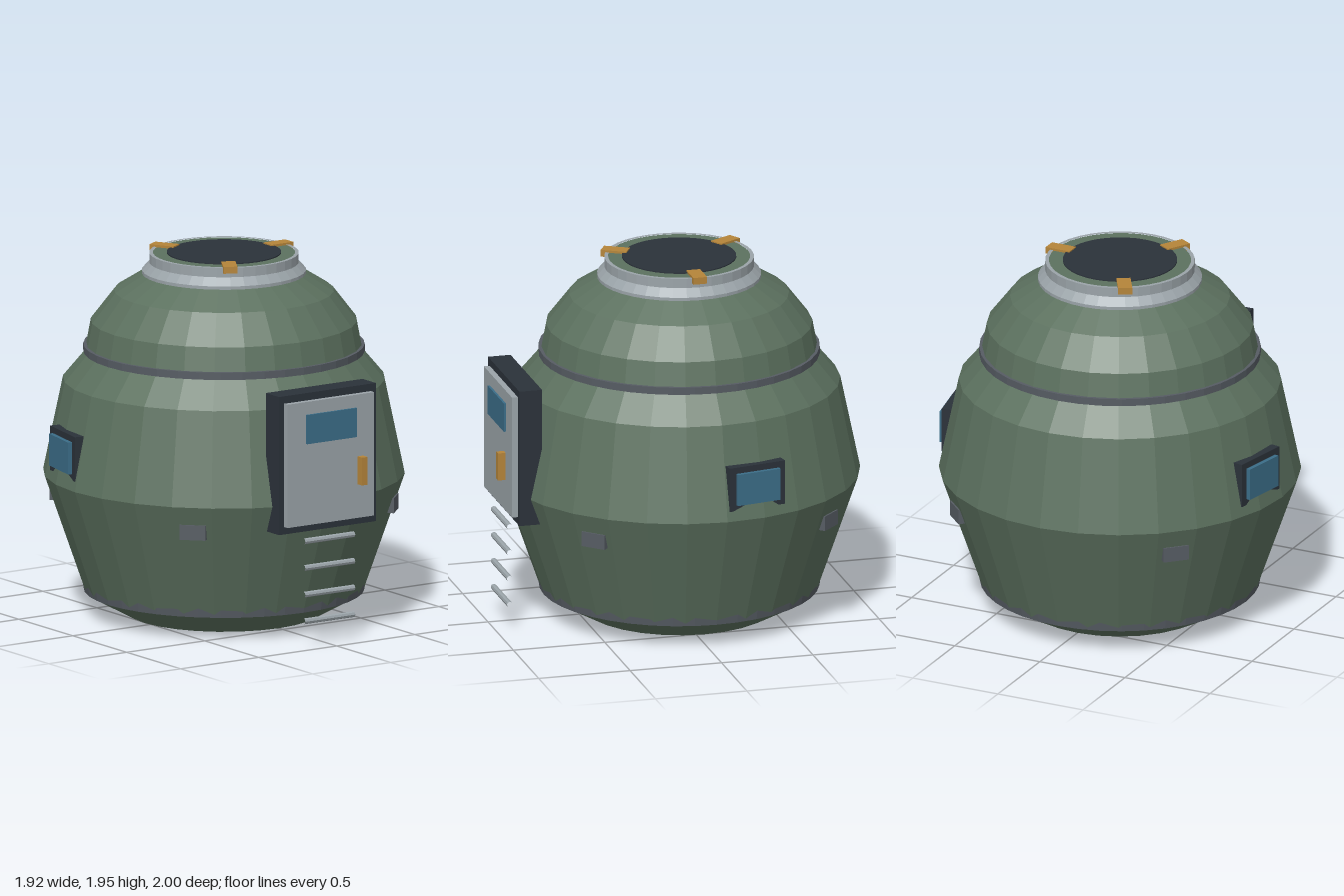
import * as THREE from 'three';

const SEG = 28;      // sides of the hull
const CZ = -0.045;   // hull axis in z

const mat = (name, color) => {
  const m = new THREE.MeshStandardMaterial({ color, flatShading: true });
  m.name = name;
  return m;
};

export function createModel() {
  const green = mat('hullGreen', 0x5c715f);
  const light = mat('lightGrey', 0x9ba4a9);
  const steel = mat('steelGrey', 0x565c63);
  const dark = mat('darkSlate', 0x2b323a);
  const glass = mat('blueGlass', 0x3b6d88);
  const amber = mat('amber', 0xb5853a);

  const model = new THREE.Group();
  model.name = 'capsule';
  const hull = new THREE.Group();
  hull.name = 'hull';
  hull.position.z = CZ;
  model.add(hull);

  const add = (parent, name, geo, material, x = 0, y = 0, z = 0) => {
    const mesh = new THREE.Mesh(geo, material);
    mesh.name = name;
    mesh.position.set(x, y, z);
    parent.add(mesh);
    return mesh;
  };
  const lathe = (name, pts, material, seg = SEG) =>
    add(hull, name, new THREE.LatheGeometry(pts.map(p => new THREE.Vector2(...p)), seg), material);
  const box = (parent, name, size, material, x, y, z) =>
    add(parent, name, new THREE.BoxGeometry(...size), material, x, y, z);
  // empty group turned about the hull axis; its +z points outwards
  const radial = (name, angle) => {
    const g = new THREE.Group();
    g.name = name;
    g.rotation.y = angle;
    hull.add(g);
    return g;
  };

  // Main shell and dome
  lathe('lowerHull', [[0, 0], [0.508, 0], [0.735, 0.125], [0.955, 0.76], [0.85, 1.263], [0.727, 1.41]], green);
  lathe('dome', [[0.73, 1.43], [0.703, 1.575], [0.58, 1.735], [0.42, 1.835]], green);

  // Seam bands
  lathe('baseBand', [[0.7, 0.125], [0.74, 0.125], [0.75, 0.19], [0.71, 0.19]], steel, 40);
  lathe('upperBand', [[0.7, 1.408], [0.742, 1.408], [0.742, 1.447], [0.69, 1.447]], steel, 40);

  // Top collar, hatch rim and hatch
  lathe('collar', [[0.4, 1.828], [0.433, 1.828], [0.433, 1.845], [0.395, 1.887], [0.395, 1.938], [0.375, 1.938]], light, 36);
  lathe('hatchRim', [[0.376, 1.936], [0.295, 1.936]], green, 36);
  add(hull, 'hatch', new THREE.CylinderGeometry(0.302, 0.302, 0.06, 36), dark, 0, 1.912, 0);

  // Three hatch clamps
  for (let i = 0; i < 3; i++) {
    const g = radial('hatchClamp', Math.PI / 2 + i * Math.PI * 2 / 3);
    box(g, 'clamp', [0.075, 0.037, 0.14], amber, 0, 1.93, 0.348);
  }

  // Four vent blocks on the diagonals
  for (let i = 0; i < 4; i++) {
    const g = radial('ventBlock', Math.PI / 4 + i * Math.PI / 2);
    box(g, 'block', [0.14, 0.08, 0.08], steel, 0, 0.62, 0.883);
  }

  // Side windows, mirrored left and right
  for (const s of [1, -1]) {
    const g = radial(s > 0 ? 'leftWindow' : 'rightWindow', s * (Math.PI / 2 + 0.19));
    box(g, 'windowFrame', [0.325, 0.24, 0.07], dark, 0, 0.932, 0.895);
    box(g, 'windowPane', [0.25, 0.172, 0.04], glass, 0, 0.932, 0.933);
  }

  // Front door
  const door = new THREE.Group();
  door.name = 'door';
  model.add(door);
  box(door, 'doorFrame', [0.62, 0.745, 0.123], dark, 0, 0.9925, 0.8525);
  box(door, 'doorPanel', [0.555, 0.665, 0.045], light, 0, 0.9925, 0.9235);
  box(door, 'doorWindow', [0.32, 0.157, 0.02], glass, 0, 1.178, 0.948);
  box(door, 'doorHandle', [0.036, 0.15, 0.042], amber, 0.18, 0.92, 0.979);

  // Ladder rungs below the door, open tubes
  for (let i = 0; i < 4; i++) {
    const rung = add(model, 'ladderRung', new THREE.CylinderGeometry(0.016, 0.016, 0.32, 8, 1, true),
      light, 0, 0.57 - i * 0.1437, 0.925);
    rung.rotation.z = Math.PI / 2;
  }

  return model;
}
